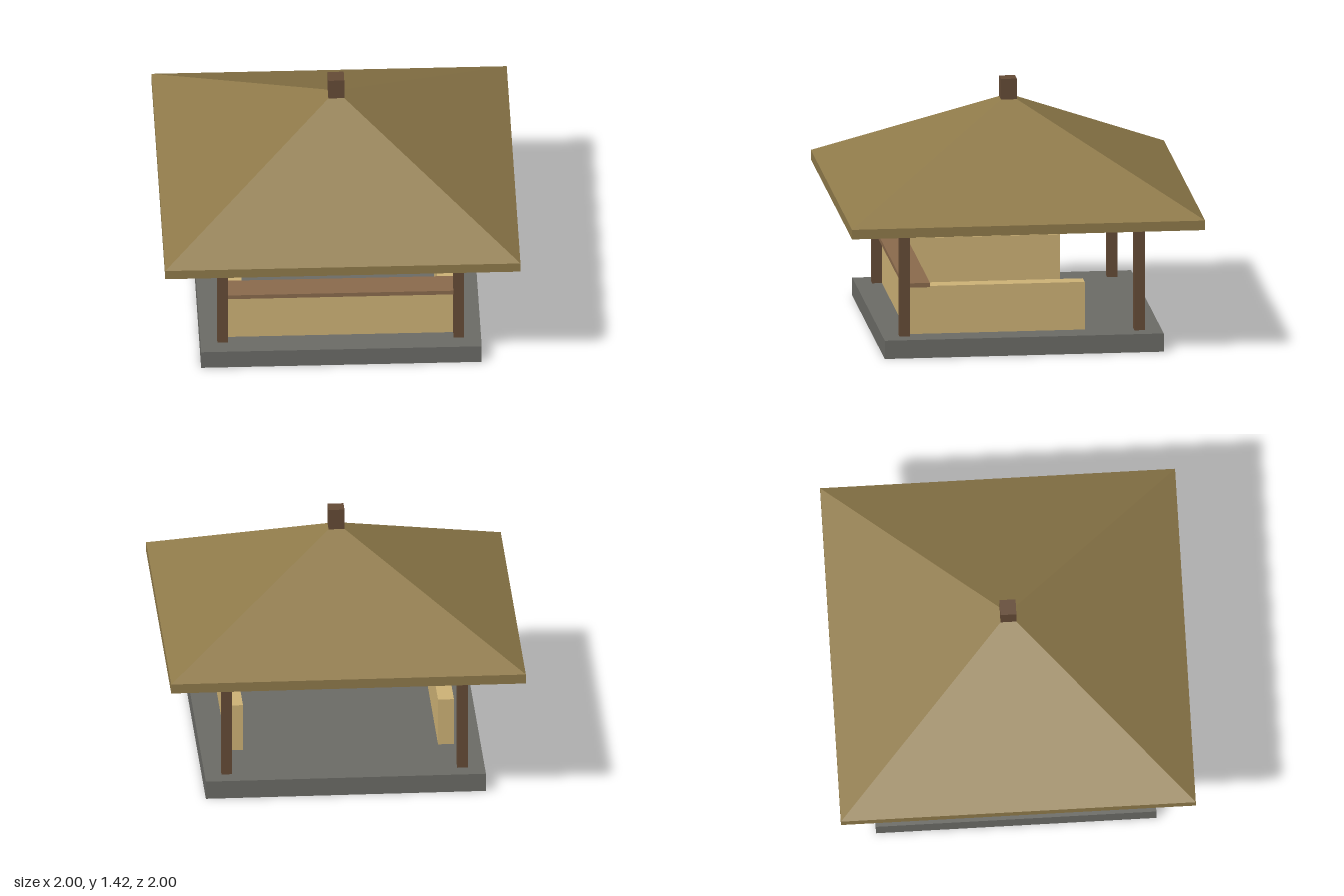
import * as THREE from 'three';

const material = (color) => new THREE.MeshStandardMaterial({ color, flatShading: true });

export function createModel() {
  const pavilion = new THREE.Group();
  pavilion.name = 'pavilion';

  const stone = material(0x6b6b66);
  const darkWood = material(0x654b36);
  const railWood = material(0x8a6a4c);
  const plaster = material(0xcdb276);
  const thatch = material(0x8f7a4a);

  // Box given by its lower and upper bounds on each axis
  function box(name, mat, [x0, x1], [y0, y1], [z0, z1]) {
    const mesh = new THREE.Mesh(new THREE.BoxGeometry(x1 - x0, y1 - y0, z1 - z0), mat);
    mesh.position.set((x0 + x1) / 2, (y0 + y1) / 2, (z0 + z1) / 2);
    mesh.name = name;
    pavilion.add(mesh);
  }

  const floorY = 0.105;
  const wallTop = 0.38;

  box('base', stone, [-0.79, 0.79], [0, floorY], [-0.79, 0.79]);

  // Corner posts
  for (const x of [-0.665, 0.665]) {
    for (const z of [-0.665, 0.665]) {
      box('post', darkWood, [x - 0.03, x + 0.03], [floorY, 0.86], [z - 0.03, z + 0.03]);
    }
  }

  // Low walls: front, and two shorter sides leaving the back open
  box('frontWall', plaster, [-0.64, 0.64], [floorY, wallTop], [0.55, 0.64]);
  box('leftWall', plaster, [0.55, 0.64], [floorY, wallTop], [-0.36, 0.55]);
  box('rightWall', plaster, [-0.64, -0.55], [floorY, wallTop], [-0.36, 0.55]);

  // Flat board on top of the front wall
  box('counterTop', railWood, [-0.67, 0.67], [wallTop, 0.405], [0.52, 0.67]);

  // Hollow four-sided roof with a thin vertical eave
  const corner = Math.SQRT2;
  const profile = [[0, 1.275], [corner, 0.745], [corner, 0.8], [0, 1.33]]
    .map(([r, y]) => new THREE.Vector2(r, y));
  const roof = new THREE.Mesh(new THREE.LatheGeometry(profile, 4, Math.PI / 4), thatch);
  roof.name = 'roof';
  pavilion.add(roof);

  box('finial', darkWood, [-0.045, 0.045], [1.29, 1.425], [-0.045, 0.045]);

  return pavilion;
}
